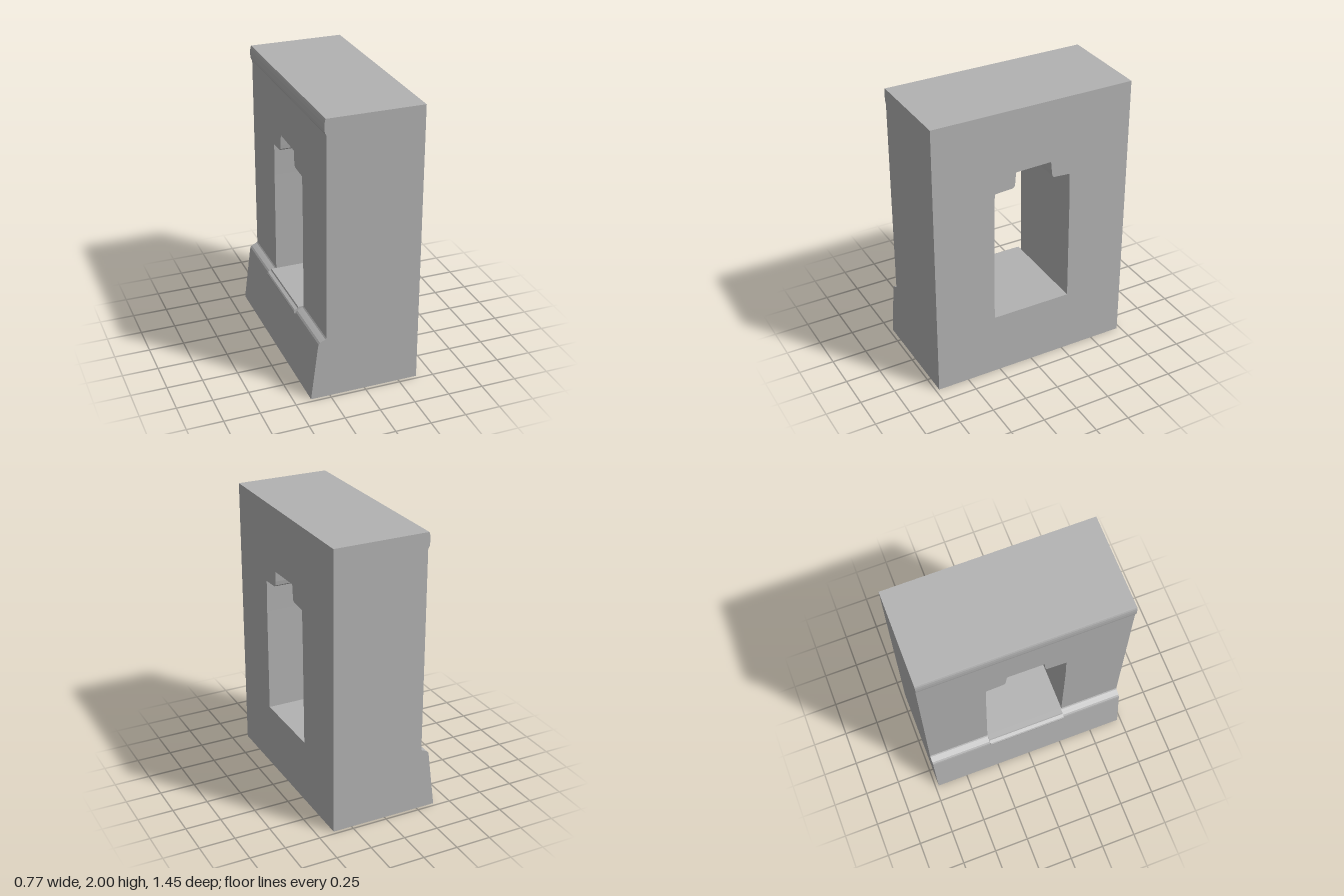
import * as THREE from 'three';

export function createModel() {
  const group = new THREE.Group();
  const stone = new THREE.MeshStandardMaterial({ color: 0xb2b2b2 });
  const toPoints = (list) => list.map(([x, y]) => new THREE.Vector2(x, y));

  // Wall slab: outline drawn in (-z, y), pushed through along x
  const outline = new THREE.Shape(toPoints([[-0.725, 0], [0.725, 0], [0.725, 2], [-0.725, 2]]));
  // Window opening with a narrower notch at its head
  outline.holes.push(new THREE.Path(toPoints([
    [-0.29, 0.455], [-0.29, 1.2], [-0.285, 1.43], [-0.155, 1.438], [-0.14, 1.45], [-0.135, 1.48], [-0.13, 1.55],
    [0.13, 1.557], [0.138, 1.48], [0.142, 1.45], [0.155, 1.438], [0.275, 1.43], [0.28, 1.2], [0.285, 0.455],
  ])));
  const wallGeometry = new THREE.ExtrudeGeometry(outline, { depth: 0.66, bevelEnabled: false });
  wallGeometry.rotateY(Math.PI / 2).translate(-0.275, 0, 0);
  const wall = new THREE.Mesh(wallGeometry, stone);
  wall.name = 'wall';
  group.add(wall);

  // Mouldings: (x, y) profiles running along z
  function moulding(name, profile, z0, z1) {
    const geometry = new THREE.ExtrudeGeometry(new THREE.Shape(toPoints(profile)), {
      depth: z1 - z0, bevelEnabled: false,
    });
    geometry.translate(0, 0, z0);
    const mesh = new THREE.Mesh(geometry, stone);
    mesh.name = name;
    group.add(mesh);
  }

  // Sloping base with a coved top edge
  moulding('plinth', [
    [-0.385, 0], [-0.275, 0], [-0.275, 0.455], [-0.282, 0.447], [-0.3, 0.439],
    [-0.32, 0.429], [-0.33, 0.418], [-0.334, 0.4],
  ], -0.725, 0.725);

  // Stepped sill lip below the opening
  moulding('windowSill', [
    [-0.333, 0.405], [-0.275, 0.43], [-0.275, 0.455], [-0.312, 0.455], [-0.316, 0.444],
    [-0.338, 0.436], [-0.345, 0.427], [-0.343, 0.412],
  ], -0.285, 0.285);

  // Rounded band along the top edge
  moulding('cornice', [
    [-0.275, 1.89], [-0.275, 2], [-0.28, 2], [-0.285, 1.988], [-0.288, 1.965],
    [-0.288, 1.93], [-0.285, 1.907],
  ], -0.725, 0.725);

  return group;
}
